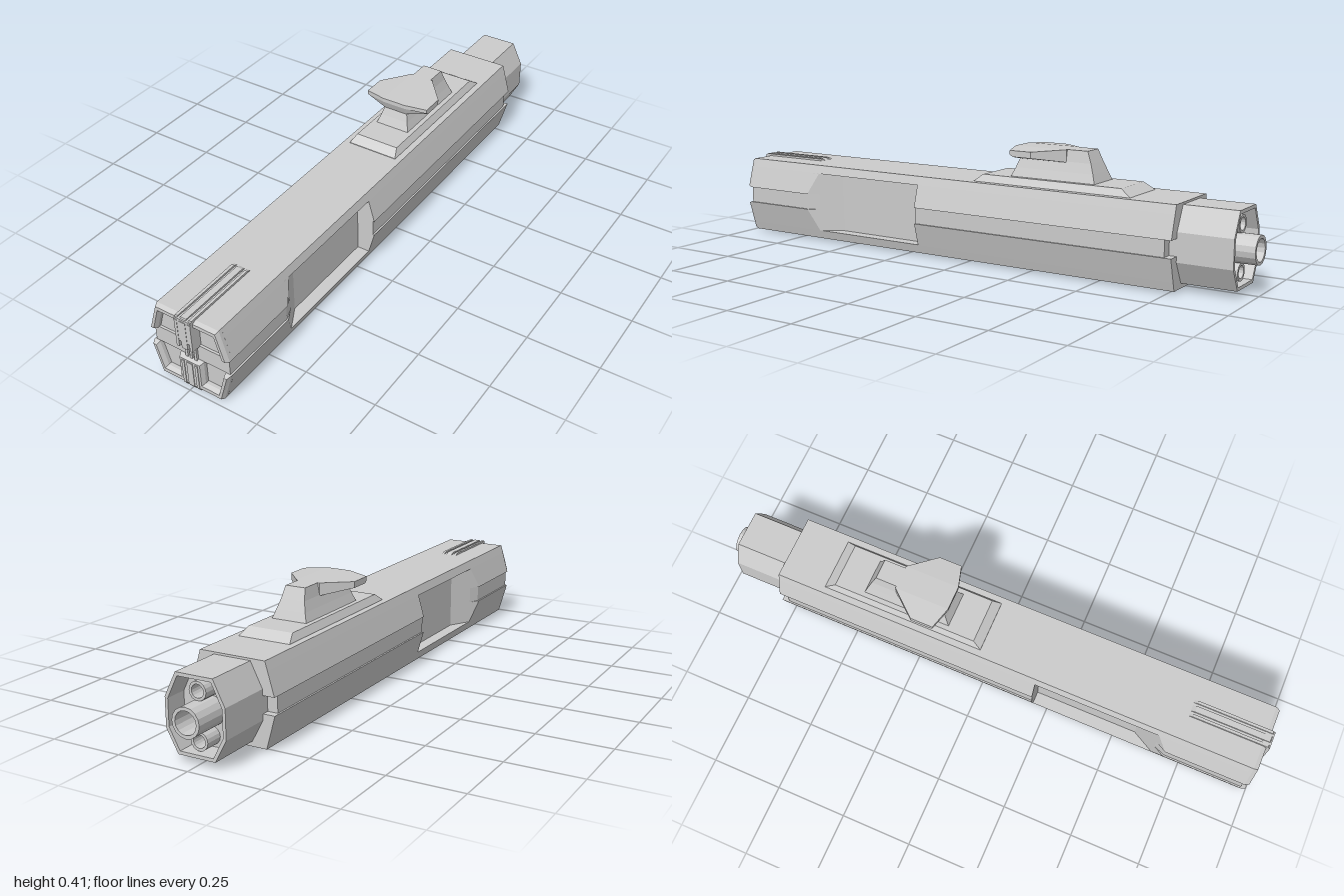
import * as THREE from 'three';

const material = new THREE.MeshStandardMaterial({ color: 0xcccccc, flatShading: true });
const MID = 0.155; // height of the long axis

function add(parent, name, geometry, x = 0, y = 0, z = 0) {
  const mesh = new THREE.Mesh(geometry, material);
  mesh.name = name;
  mesh.position.set(x, y, z);
  parent.add(mesh);
  return mesh;
}

// Skin a list of { z, pts } sections (counter-clockwise in x, y; z rising) and cap both ends
function loft(sections) {
  const pos = [];
  const put = (s, i) => pos.push(s.pts[i][0], s.pts[i][1], s.z);
  const n = sections[0].pts.length;
  for (let k = 0; k < sections.length - 1; k++) {
    const a = sections[k], b = sections[k + 1];
    for (let i = 0; i < n; i++) {
      const j = (i + 1) % n;
      put(a, i); put(a, j); put(b, j);
      put(a, i); put(b, j); put(b, i);
    }
  }
  const cap = (s, flip) => {
    const outline = s.pts.map(([x, y]) => new THREE.Vector2(x, y));
    for (const [p, q, r] of THREE.ShapeUtils.triangulateShape(outline, [])) {
      for (const i of flip ? [r, q, p] : [p, q, r]) put(s, i);
    }
  };
  cap(sections[0], true);
  cap(sections[sections.length - 1], false);
  const g = new THREE.BufferGeometry();
  g.setAttribute('position', new THREE.Float32BufferAttribute(pos, 3));
  g.computeVertexNormals();
  return g;
}

// Right half of an outline, bottom to top, closed with its mirror image
const mirrored = (half) => [...half, ...half.map(([x, y]) => [-x, y]).reverse()];
const shapeOf = (pts) => new THREE.Shape(pts.map(([x, y]) => new THREE.Vector2(x, y)));

// Shell section, cut back to half-width lim where the side recess runs
function shellSection(z, lim) {
  const x = Math.min(lim, 0.146);
  const y = lim < 0.124 ? 0.105 : 0.028 + ((0.146 - x) / 0.031) * 0.107;
  return {
    z,
    pts: mirrored([[x, 0.028], [x, y], [Math.min(lim, 0.124), 0.105], [0.124, 0.105], [0.115, 0.135]]),
  };
}

function bandSection(z, lim) {
  const x = Math.min(lim, 0.14);
  return { z, pts: mirrored([[x, -0.029], [x, 0.029]]) };
}

// Straight recess at the back, sloping out again towards the front
const stations = (section, back, front) => [
  [back, 1], [0.2, 1], [0.2, 0.08], [0.57, 0.08], [0.65, 0.124], [0.69, 0.146], [front, 1],
].map(([z, lim]) => section(z, lim));

// Bevelled front frame with two sunken panels, open towards the middle band
function frontFrame(strip) {
  const shape = shapeOf(mirrored([
    [strip, 0.028], [strip, 0.11], [0.1, 0.11], [0.124, 0.028], [0.146, 0.028], [0.115, 0.135],
  ]));
  return new THREE.ExtrudeGeometry(shape, {
    depth: 0.012, bevelEnabled: true, bevelSegments: 1,
    bevelSize: 0.006, bevelThickness: 0.014, bevelOffset: -0.006,
  });
}

// Upright slab in the z-y plane with a sloped tail and clipped nose
function slab(width, bottom, top, tail, nose) {
  const shape = shapeOf([
    [tail, bottom], [nose, bottom], [nose, top - 0.012], [nose - 0.008, top], [tail + 0.025, top], [tail, top - 0.012],
  ]);
  const g = new THREE.ExtrudeGeometry(shape, { depth: width, bevelEnabled: false });
  return g.translate(0, 0, -width / 2).rotateY(-Math.PI / 2);
}

function buildFin(parent, name, bottom, nose) {
  const fin = new THREE.Group();
  fin.name = name;
  add(fin, 'finCore', slab(0.058, bottom, 0.136, 0.71, nose - 0.012));
  for (const [x, w] of [[-0.025, 0.01], [0, 0.022], [0.025, 0.01]]) {
    add(fin, 'finRib', slab(w, bottom, 0.142, 0.705, nose), x);
  }
  parent.add(fin);
}

// Open pipe pointing backwards
function pipe(outer, inner, front, back) {
  const pts = [[inner, front], [inner, back], [outer, back], [outer, front]]
    .map(([r, z]) => new THREE.Vector2(r, z));
  const g = new THREE.LatheGeometry(pts, 16);
  g.rotateX(Math.PI / 2);
  return g;
}

// Tapered block from { y, x, front, back } levels
const tower = (levels) => loft(levels.map(({ y, x, front, back }) => ({
  z: y, pts: [[-x, -front], [x, -front], [x, -back], [-x, -back]],
}))).rotateX(-Math.PI / 2);

export function createModel() {
  const model = new THREE.Group();
  model.name = 'model';

  // Upper and lower half shells; the lower one is the upper turned half a turn
  for (const upper of [true, false]) {
    const half = new THREE.Group();
    half.name = upper ? 'upperHalf' : 'lowerHalf';
    half.position.y = MID;
    if (!upper) half.rotation.z = Math.PI;
    add(half, 'shell', loft(stations(shellSection, -0.77, 0.962)));
    add(half, 'frontFrame', frontFrame(upper ? 0.03 : 0.044), 0, 0, 0.962);
    buildFin(half, upper ? 'upperFin' : 'lowerFin', upper ? 0.026 : 0.04, upper ? 1 : 0.99);
    if (!upper) half.scale.y = 1.025;
    model.add(half);
  }

  // Flat face over the upper fin
  add(model, 'upperFinFace', new THREE.BoxGeometry(0.06, 0.088, 0.03), 0, 0.249, 0.984);

  // Middle band between the shells
  add(model, 'middleBand', loft(stations(bandSection, -0.745, 0.97)), 0, MID, 0);
  for (const x of [-0.017, 0, 0.017]) {
    add(model, 'centreBar', new THREE.BoxGeometry(0.009, 0.1, 0.02), x, MID, 0.968);
  }

  // Hollow eight-sided rear housing
  const rear = [[0.065, -0.122], [0.105, -0.048], [0.105, 0.048], [0.065, 0.128]];
  const housing = shapeOf(mirrored(rear));
  const inner = mirrored(rear.map(([x, y]) => [x * 0.9, y * 0.91]));
  housing.holes.push(new THREE.Path(inner.map(([x, y]) => new THREE.Vector2(x, y))));
  add(model, 'rearHousing', new THREE.ExtrudeGeometry(housing, { depth: 0.22, bevelEnabled: false }), 0, MID, -0.955);
  add(model, 'rearFloor', new THREE.ExtrudeGeometry(shapeOf(inner), { depth: 0.1, bevelEnabled: false }), 0, MID, -0.88);

  // Pipes inside the housing
  add(model, 'centrePipe', pipe(0.048, 0.037, -0.86, -1), 0, MID, 0);
  for (const y of [-0.076, 0.076]) add(model, 'smallPipe', pipe(0.03, 0.021, -0.86, -0.94), 0, MID + y, 0);

  // Raised base and waisted pedestal on top
  add(model, 'topBase', tower([
    { y: 0.285, x: 0.093, front: -0.015, back: -0.605 },
    { y: 0.292, x: 0.092, front: -0.015, back: -0.6 },
    { y: 0.315, x: 0.08, front: -0.045, back: -0.565 },
  ]));
  add(model, 'pedestal', tower([
    { y: 0.31, x: 0.065, front: -0.143, back: -0.462 },
    { y: 0.345, x: 0.053, front: -0.158, back: -0.449 },
    { y: 0.378, x: 0.043, front: -0.17, back: -0.436 },
    { y: 0.417, x: 0.036, front: -0.175, back: -0.42 },
  ]));

  // Swept wing plate across the pedestal, thinner at the tips
  const wingSection = (x, front, back, low, high) => ({
    z: x, pts: [[-front + 0.012, low], [-back, low], [-back, high], [-front, high], [-front, high - 0.014]],
  });
  const wing = [
    [0.12, -0.175, -0.255, 0.39, 0.411],
    [0.043, -0.152, -0.345, 0.375, 0.417],
  ];
  add(model, 'wingPlate', loft([
    ...wing.map(([x, ...rest]) => wingSection(-x, ...rest)),
    ...wing.map(([x, ...rest]) => wingSection(x, ...rest)).reverse(),
  ]).rotateY(Math.PI / 2));

  return model;
}
